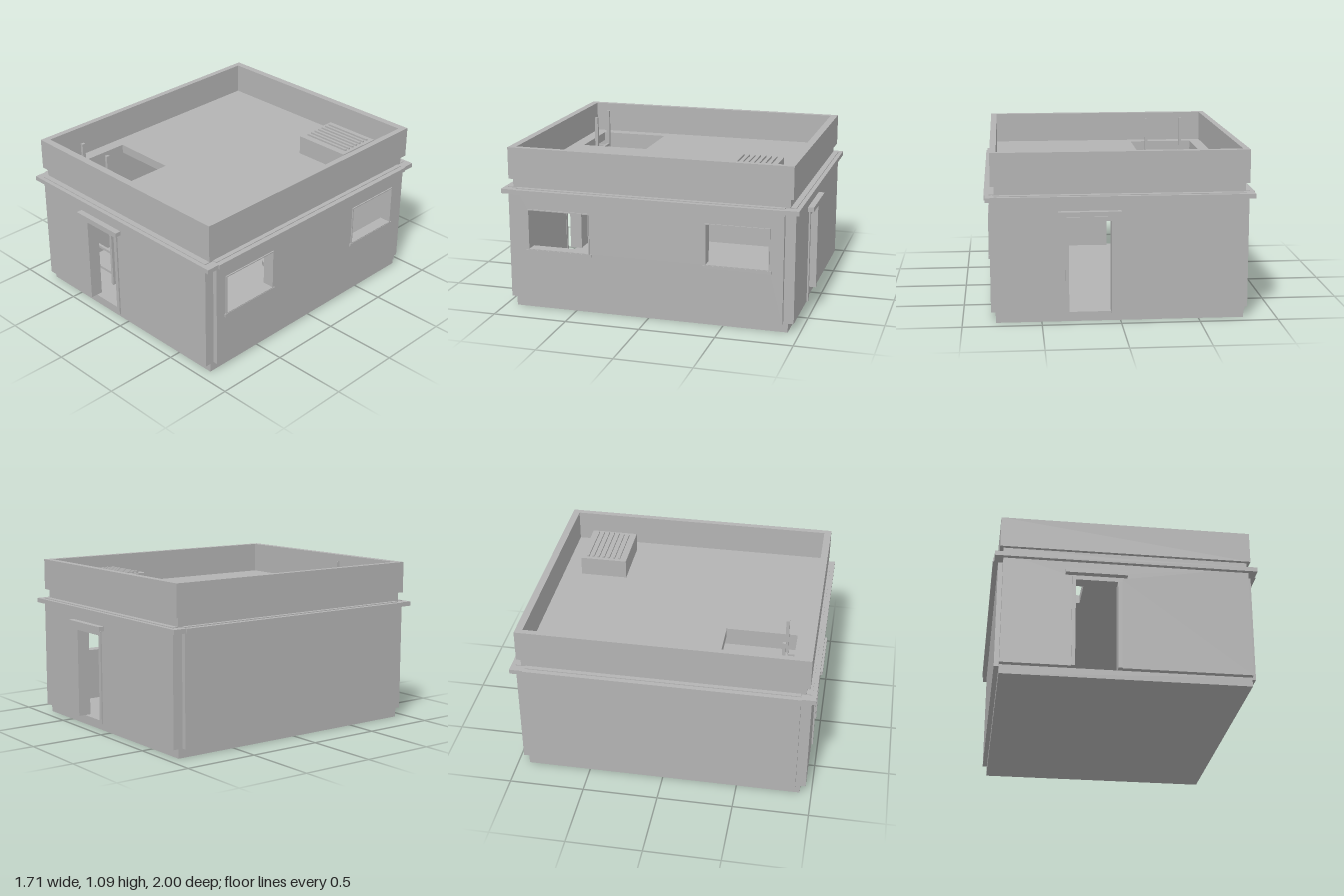
import * as THREE from 'three';

const plaster = new THREE.MeshStandardMaterial({ color: 0xb3b3b3 });
plaster.name = 'plaster';

function add(parent, name, geometry) {
  const mesh = new THREE.Mesh(geometry, plaster);
  mesh.name = name;
  parent.add(mesh);
  return mesh;
}

// Box given by its limits on each axis
function box(parent, name, [x0, x1], [y0, y1], [z0, z1]) {
  const mesh = add(parent, name, new THREE.BoxGeometry(x1 - x0, y1 - y0, z1 - z0));
  mesh.position.set((x0 + x1) / 2, (y0 + y1) / 2, (z0 + z1) / 2);
  return mesh;
}

function rect(target, [u0, u1], [v0, v1]) {
  target.moveTo(u0, v0).lineTo(u1, v0).lineTo(u1, v1).lineTo(u0, v1).closePath();
  return target;
}

// Flat slab with rectangular openings, extruded along +z
function slab(u, v, depth, holes = []) {
  const shape = rect(new THREE.Shape(), u, v);
  for (const [hu, hv] of holes) shape.holes.push(rect(new THREE.Path(), hu, hv));
  return new THREE.ExtrudeGeometry(shape, { depth, bevelEnabled: false });
}

// End wall with doorway, frame and lintel, facing +z
function endWall(name) {
  const g = new THREE.Group();
  g.name = name;
  const shape = new THREE.Shape();
  const outline = [[-0.79, 0.06], [-0.35, 0.06], [-0.35, 0.68], [-0.035, 0.68],
    [-0.035, 0.06], [0.79, 0.06], [0.79, 0.82], [-0.79, 0.82]];
  shape.setFromPoints(outline.map(([x, y]) => new THREE.Vector2(x, y)));
  add(g, 'wall', new THREE.ExtrudeGeometry(shape, { depth: 0.075, bevelEnabled: false })).position.z = 0.885;
  box(g, 'doorJamb', [-0.352, -0.328], [0.06, 0.655], [0.882, 0.97]);
  box(g, 'doorJamb', [-0.06, -0.034], [0.06, 0.655], [0.882, 0.97]);
  box(g, 'doorHead', [-0.352, -0.034], [0.655, 0.682], [0.882, 0.97]);
  box(g, 'doorLintel', [-0.395, 0], [0.69, 0.72], [0.95, 1]);
  box(g, 'cornice', [-0.845, 0.845], [0.785, 0.815], [0.895, 0.988]);
  return g;
}

// Round container with small items on its lid
function container() {
  const g = new THREE.Group();
  g.name = 'roundContainer';
  add(g, 'body', new THREE.CylinderGeometry(0.085, 0.085, 0.25, 24)).position.y = 0.185;
  add(g, 'lid', new THREE.CylinderGeometry(0.1, 0.1, 0.03, 24)).position.y = 0.325;
  for (let i = 0; i < 5; i++) {
    const a = (i / 5) * Math.PI * 2;
    add(g, 'lidKnob', new THREE.CylinderGeometry(0.014, 0.014, 0.015, 10))
      .position.set(Math.cos(a) * 0.06, 0.347, Math.sin(a) * 0.06);
  }
  g.position.set(0.53, 0, 0.04);
  return g;
}

export function createModel() {
  const model = new THREE.Group();
  model.name = 'house';

  box(model, 'foundation', [-0.79, 0.79], [0, 0.06], [-0.923, 0.923]);

  // Door walls, the rear one turned half a circle
  model.add(endWall('frontWall'));
  const back = endWall('backWall');
  back.rotation.y = Math.PI;
  model.add(back);

  // Side walls; the shape's u axis runs along -z
  const windows = [[-0.815, -0.39], [0.385, 0.805]];
  const height = [0.41, 0.685];
  const side = add(model, 'windowWall',
    slab([-0.893, 0.893], [0.06, 0.82], 0.07, windows.map((w) => [w, height])));
  side.rotation.y = Math.PI / 2;
  side.position.x = 0.75;
  box(model, 'plainWall', [-0.82, -0.75], [0.06, 0.82], [-0.893, 0.893]);

  // Window frames and sills
  for (const [u0, u1] of windows) {
    const frame = add(model, 'windowFrame', slab([u0, u1], height, 0.08,
      [[[u0 + 0.007, u1 - 0.007], [height[0] + 0.005, height[1] - 0.007]]]));
    frame.rotation.y = Math.PI / 2;
    frame.position.x = 0.748;
    box(model, 'windowSill', [0.79, 0.83], [0.39, 0.41], [-u1 - 0.012, -u0 + 0.012]);
  }

  // Side cornices
  for (const s of [-1, 1]) {
    box(model, 'sideCornice', s < 0 ? [-0.853, -0.8] : [0.8, 0.853], [0.785, 0.815], [-0.9, 0.9]);
  }

  // Roof with hatch opening, and the parapet; v axis runs along -z
  const roof = add(model, 'roof', slab([-0.79, 0.79], [-0.923, 0.923], 0.06,
    [[[-0.69, -0.24], [-0.813, -0.34]]]));
  roof.rotation.x = -Math.PI / 2;
  roof.position.y = 0.82;
  const parapet = add(model, 'parapet', slab([-0.812, 0.812], [-0.946, 0.946], 0.21,
    [[[-0.772, 0.772], [-0.898, 0.898]]]));
  parapet.rotation.x = -Math.PI / 2;
  parapet.position.y = 0.878;

  // Roof vent with slats
  box(model, 'ventBox', [0.275, 0.667], [0.88, 1.01], [-0.77, -0.45]);
  for (let i = 0; i < 7; i++) {
    const z = -0.725 + i * 0.0368;
    box(model, 'ventSlat', [0.3, 0.642], [1.01, 1.022], [z - 0.007, z + 0.007]);
  }

  // Ladder through the hatch
  const ladder = new THREE.Group();
  ladder.name = 'ladder';
  for (const x of [-0.605, -0.352]) {
    box(ladder, 'ladderRail', [x - 0.01, x + 0.01], [0.06, 1.065], [0.742, 0.764]);
    box(ladder, 'ladderBracket', [x - 0.005, x + 0.005], [0.79, 0.805], [0.76, 0.886]);
  }
  for (let i = 0; i < 5; i++) {
    const y = 0.15 + i * 0.165;
    box(ladder, 'ladderRung', [-0.605, -0.352], [y - 0.009, y + 0.009], [0.744, 0.762]);
  }
  model.add(ladder);

  model.add(container());
  return model;
}
